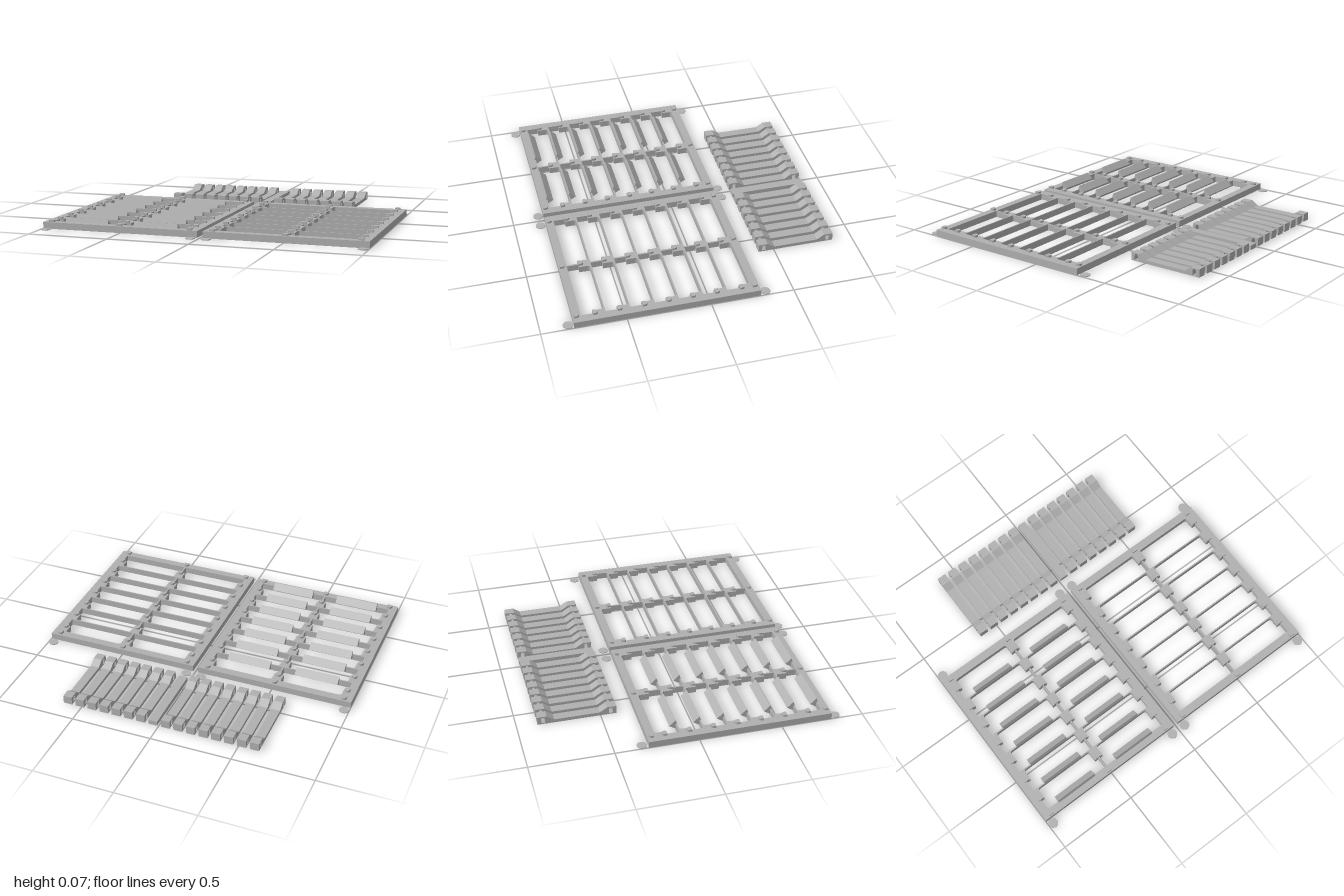
import * as THREE from 'three';

const FRAME_H = 0.04;          // height of the frames
const PITCH = 0.1445;          // distance between cross walls
const HALF_W = 0.491, BACK = -0.3, FRONT = 0.807;
const wallZ = (i) => -0.105 + PITCH * i;
const cellStart = (i) => (i === 0 ? -0.25 : wallZ(i - 1) + 0.004);

// extrude a plan outline (x, -z) upwards
function plate(shape, height, y = 0) {
  const g = new THREE.ExtrudeGeometry(shape, { depth: height, bevelEnabled: false, curveSegments: 6 });
  return g.rotateX(-Math.PI / 2).translate(0, y, 0);
}

// extrude a side profile (z, y) along x, centred
function sideProfile(shape, width) {
  const g = new THREE.ExtrudeGeometry(shape, { depth: width, bevelEnabled: false, curveSegments: 6 });
  return g.translate(0, 0, -width / 2).rotateY(-Math.PI / 2);
}

function polygon(points) {
  return new THREE.Shape(points.map(([x, y]) => new THREE.Vector2(x, y)));
}

// one opening of the frame, with notches left for the peg tabs
function opening(i, s) {
  const z0 = cellStart(i), z1 = wallZ(i) - 0.004, zt = z0 + 0.067, r = 0.015;
  const p = new THREE.Path();
  p.moveTo(s * 0.029, -z0 - r);
  p.quadraticCurveTo(s * 0.029, -z0, s * (0.029 + r), -z0);
  p.lineTo(s * (0.414 - r), -z0);
  p.quadraticCurveTo(s * 0.414, -z0, s * 0.414, -z0 - r);
  p.lineTo(s * 0.414, -zt);
  p.lineTo(s * 0.439, -zt);
  p.lineTo(s * 0.439, -z1);
  p.lineTo(s * 0.005, -z1);
  p.lineTo(s * 0.005, -zt);
  p.lineTo(s * 0.029, -zt);
  p.closePath();
  return p;
}

function frameGeometry() {
  const shape = polygon([[-HALF_W, -FRONT], [HALF_W, -FRONT], [HALF_W, -BACK], [-HALF_W, -BACK]]);
  for (let i = 0; i < 7; i++) for (const s of [-1, 1]) shape.holes.push(opening(i, s));
  return plate(shape, FRAME_H);
}

// small peg: rounded at the back, flat at the front
function pegGeometry() {
  const s = new THREE.Shape();
  s.moveTo(-0.016, -0.014);
  s.lineTo(0.016, -0.014);
  s.lineTo(0.016, 0);
  s.absarc(0, 0, 0.016, 0, Math.PI, false);
  s.closePath();
  return plate(s, 0.014, FRAME_H - 0.001);
}

// slat with raised ends and arched peg holes
function slatGeometry(width) {
  const s = polygon([
    [-0.877, 0], [-0.404, 0], [-0.404, 0.05], [-0.46, 0.05],
    [-0.505, 0.021], [-0.777, 0.021], [-0.82, 0.05], [-0.877, 0.05],
  ]);
  for (const z of [-0.437, -0.843]) {
    const h = new THREE.Path();
    h.moveTo(z - 0.011, 0.007);
    h.lineTo(z + 0.011, 0.007);
    h.lineTo(z + 0.011, 0.033);
    h.absarc(z, 0.033, 0.011, 0, Math.PI, false);
    h.closePath();
    s.holes.push(h);
  }
  return sideProfile(s, width);
}

export function createModel() {
  const model = new THREE.Group();
  model.name = 'slattedFrameKit';
  const grey = new THREE.MeshStandardMaterial({ color: 0xb0b0b0 });
  grey.name = 'plain grey';

  const add = (parent, name, geometry, x = 0, y = 0, z = 0) => {
    const m = new THREE.Mesh(geometry, grey);
    m.name = name;
    m.position.set(x, y, z);
    parent.add(m);
    return m;
  };

  const frameGeo = frameGeometry();
  const pegGeo = pegGeometry();
  const discGeo = new THREE.CylinderGeometry(0.03, 0.03, 0.004, 24);
  const wedgeGeo = sideProfile(polygon([[0.004, 0.002], [0.005, 0.04], [-0.003, 0.066], [-0.042, 0.03]]), 0.275);

  // the two frames, the right one carrying wedge ledges
  for (const [name, cx, hasWedges] of [['rightFrame', -0.509, true], ['leftFrame', 0.507, false]]) {
    const frame = new THREE.Group();
    frame.name = name;
    frame.position.x = cx;
    model.add(frame);
    add(frame, 'framePlate', frameGeo);

    // pegs on the rails and on every tab
    const pegZ = [-0.275, 0.785];
    for (let i = 0; i < 7; i++) pegZ.push(cellStart(i) + 0.053);
    for (const x of [-0.439, 0, 0.439]) for (const z of pegZ) add(frame, 'peg', pegGeo, x, 0, z);

    // thin corner discs
    for (const x of [-0.46, 0.46]) for (const z of [-0.335, 0.838]) add(frame, 'cornerDisc', discGeo, x, 0.002, z);

    if (hasWedges) {
      for (let i = 0; i < 7; i++) {
        for (const x of [-0.223, 0.217]) add(frame, 'wedgeLedge', wedgeGeo, x, 0, wallZ(i));
      }
    }
  }

  // row of loose slats, one of them a plain bar
  const slats = new THREE.Group();
  slats.name = 'looseSlats';
  model.add(slats);
  const slatGeo = slatGeometry(0.055);
  const barGeo = new THREE.BoxGeometry(0.055, 0.028, 0.473);
  for (let i = 0; i < 16; i++) {
    const x = -0.597 + 0.0793 * i;
    if (i === 8) add(slats, 'plainBar', barGeo, x, 0.014, -0.6405);
    else add(slats, 'slat', slatGeo, x);
  }
  return model;
}
